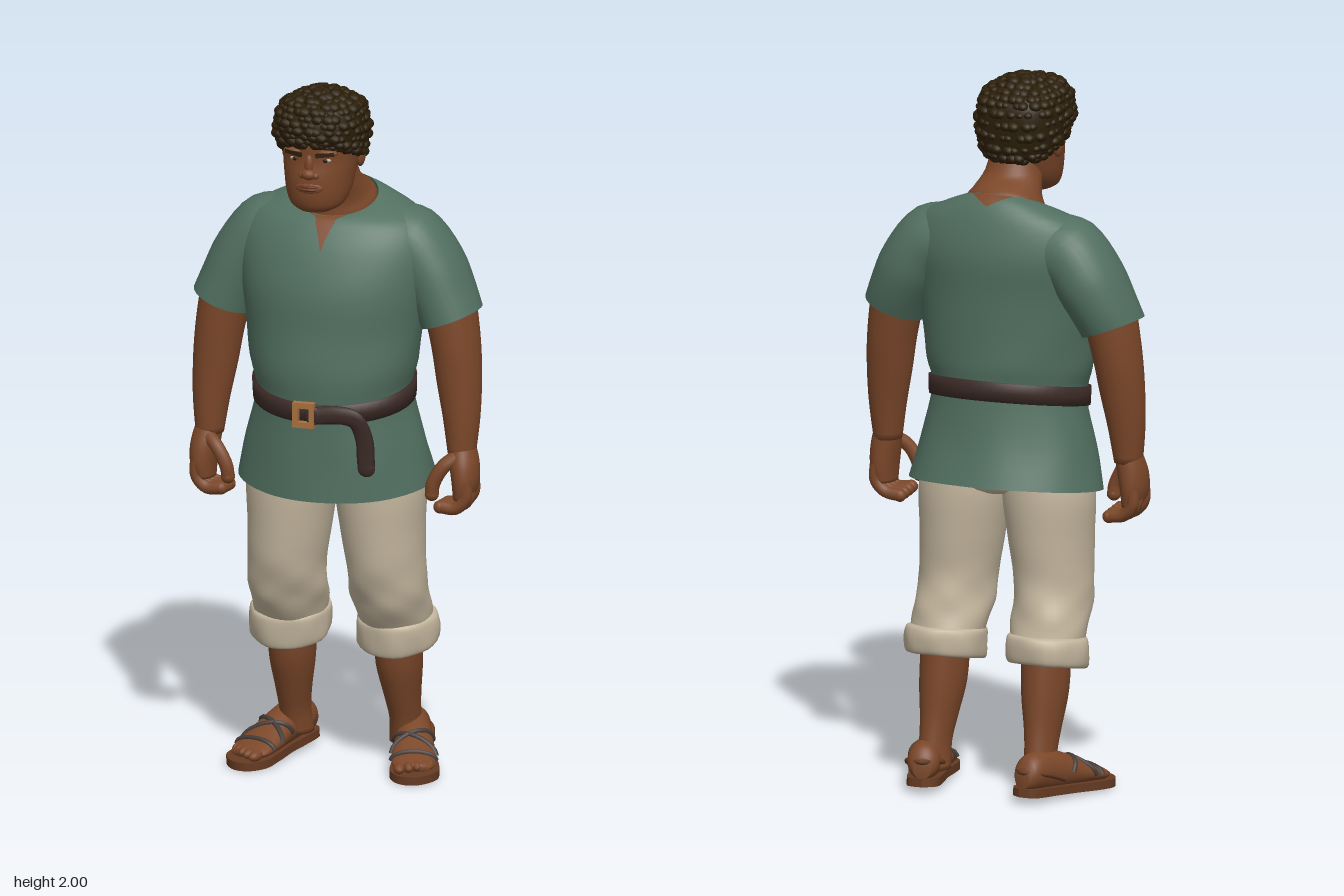
import * as THREE from 'three';
import { mergeGeometries } from 'three/addons/utils/BufferGeometryUtils.js';

const mat = (name, color, side = THREE.FrontSide) => {
  const m = new THREE.MeshStandardMaterial({ color, side });
  m.name = name;
  return m;
};

// Interpolated cross-section [cx, cy, cz, rx, rz, lean, frontRise] at t = 0..1
function sectionAt(S, t) {
  const k = S.length - 1, p = t * k, i = Math.min(Math.floor(p), k - 1), f = p - i;
  const g = (n, c) => S[Math.max(0, Math.min(k, n))][c] ?? 0;
  return [0, 1, 2, 3, 4, 5, 6].map(c => {
    const a = g(i - 1, c), b = g(i, c), d = g(i + 1, c), e = g(i + 2, c);
    return b + 0.5 * f * (d - a + f * (2 * a - 5 * b + 4 * d - e + f * (3 * (b - d) + e - a)));
  });
}

function pointOn(S, t, th, grow = 0, ripple = null) {
  const [cx, cy, cz, rx, rz, a, dy] = sectionAt(S, t);
  const r = ripple ? 1 + ripple(th, cy) : 1;
  const u = Math.cos(th) * (rx + grow) * r, w = Math.sin(th);
  return [cx + u * Math.cos(a), cy + u * Math.sin(a) + w * dy, cz + w * (rz + grow) * r];
}

// Grid of points to faces; the ring closes on itself when wrap is set
function grid(rows, cols, wrap, fn, cap = false) {
  const pos = [], idx = [], n = wrap ? cols : cols + 1;
  for (let i = 0; i <= rows; i++) for (let j = 0; j < n; j++) pos.push(...fn(i / rows, j / cols));
  for (let i = 0; i < rows; i++) for (let j = 0; j < cols; j++) {
    const a = i * n + j, b = i * n + (j + 1) % n;
    idx.push(a, a + n, b, b, a + n, b + n);
  }
  if (cap) for (const i of [0, rows]) {
    const c = pos.length / 3, sum = [0, 0, 0];
    for (let j = 0; j < n; j++) for (let d = 0; d < 3; d++) sum[d] += pos[(i * n + j) * 3 + d] / n;
    pos.push(...sum);
    for (let j = 0; j < n; j++) {
      const a = i * n + j, b = i * n + (j + 1) % n;
      if (i) idx.push(a, c, b); else idx.push(a, b, c);
    }
  }
  const geo = new THREE.BufferGeometry();
  geo.setAttribute('position', new THREE.Float32BufferAttribute(pos, 3));
  geo.setIndex(idx);
  geo.computeVertexNormals();
  return geo;
}

const loft = (S, { cap = true, ripple = null, steps = 4, seg = 32 } = {}) =>
  grid((S.length - 1) * steps, seg, true, (t, u) => pointOn(S, t, u * Math.PI * 2, 0, ripple), cap);

const ball = (x, y, z, rx, ry, rz) => new THREE.SphereGeometry(1, 14, 10).scale(rx, ry, rz).translate(x, y, z);
const curve = pts => new THREE.CatmullRomCurve3(pts.map(p => new THREE.Vector3(...p)));
const tube = (pts, r, n = 16) => new THREE.TubeGeometry(curve(pts), n, r, 8);
const finger = (pts, r) => {
  const e = pts[pts.length - 1];
  return mergeGeometries([tube(pts, r), ball(...e, r, r, r)]);
};

// Reflected copy in x, with the faces turned back outwards
function mirrorGeo(src) {
  const g = (src.index ? src.toNonIndexed() : src.clone()).scale(-1, 1, 1);
  for (const name of ['position', 'normal']) {
    const a = g.attributes[name];
    for (let i = 0; i < a.count; i += 3) {
      const p = [a.getX(i + 1), a.getY(i + 1), a.getZ(i + 1)];
      a.setXYZ(i + 1, a.getX(i + 2), a.getY(i + 2), a.getZ(i + 2));
      a.setXYZ(i + 2, ...p);
    }
  }
  return g;
}

export function createModel() {
  const root = new THREE.Group();
  root.name = 'standingMan';
  const skin = mat('skin', 0x7b4729), hairMat = mat('hair', 0x2b1e08);
  const cloth = mat('tunicGreen', 0x516f60, THREE.DoubleSide), linen = mat('linen', 0xc2b49c, THREE.DoubleSide);
  const leather = mat('beltLeather', 0x3b2a26), brass = mat('brass', 0xa8703f);
  const soleMat = mat('sandalSole', 0x663b23), strapMat = mat('sandalStrap', 0x443b38);
  const eyeMat = mat('eyeWhite', 0xb8aca0), lipMat = mat('lips', 0x663623);

  const add = (name, geo, m, parent = root) => {
    const mesh = new THREE.Mesh(geo, m);
    mesh.name = name;
    parent.add(mesh);
    return mesh;
  };
  const pair = (name, geo, m) => {
    add('left' + name, geo, m);
    add('right' + name, mirrorGeo(geo), m);
  };

  // Tunic body with soft folds around the belt
  const torso = [
    [0, .86, -.01, .28, .22, 0, -.03], [0, .98, .008, .252, .199, 0, -.03], [0, 1.115, .018, .22, .187, 0, -.033],
    [0, 1.2, .02, .238, .193, 0, -.015], [0, 1.3, .015, .25, .187], [0, 1.42, .01, .268, .183],
    [0, 1.53, -.01, .28, .168], [0, 1.61, -.018, .25, .14, 0, -.015],
    [0, 1.65, -.016, .17, .117, 0, -.03], [0, 1.665, -.01, .115, .098, 0, -.038]];
  const folds = (th, y) => Math.sin(7 * th + 1) * .014 * Math.max(0, 1 - Math.abs(y - .95) / .14)
    + Math.sin(5 * th + 9 * y) * .012 * Math.max(0, 1 - Math.abs(y - 1.22) / .12);
  add('tunic', loft(torso, { cap: false, ripple: folds, seg: 56 }), cloth);
  pair('Sleeve', loft([
    [.33, 1.335, -.015, .09, .1, .36], [.306, 1.39, -.025, .092, .108, .45], [.27, 1.46, -.033, .099, .114, .7],
    [.21, 1.532, -.033, .106, .11, 1.1], [.13, 1.55, -.033, .1, .1, 1.4]], { cap: false }), cloth);
  // Neck openings showing skin: a long slit in front, a short notch behind
  add('neckSlit', grid(16, 6, false, (t, u) =>
    pointOn(torso, .68 + t * .32, Math.PI / 2 + (u - .5) * (.24 * Math.min(1, t * 2) + .75 * t ** 5), .005)), skin);
  add('neckNotch', grid(8, 6, false, (t, u) =>
    pointOn(torso, .87 + t * .13, -Math.PI / 2 + (u - .5) * 1.1 * t, .004)), skin);

  // Belt, buckle and hanging strap end
  add('belt', loft([
    [0, 1.093, .017, .21, .177, 0, -.034], [0, 1.093, .017, .23, .197, 0, -.034], [0, 1.12, .018, .231, .199, 0, -.034],
    [0, 1.147, .019, .232, .2, 0, -.034], [0, 1.147, .019, .21, .177, 0, -.034]],
  { cap: false, steps: 1, seg: 48 }), leather);
  const frame = new THREE.Shape([[-.031, -.036], [.031, -.036], [.031, .036], [-.031, .036]].map(p => new THREE.Vector2(...p)));
  frame.holes.push(new THREE.Path([[-.016, -.02], [-.016, .02], [.016, .02], [.016, -.02]].map(p => new THREE.Vector2(...p))));
  add('buckle', new THREE.ExtrudeGeometry(frame, { depth: .02, bevelEnabled: false }).translate(-.026, 1.086, .215), brass);
  add('beltEnd', mergeGeometries([
    tube([[0, 1.085, .745], [.06, 1.09, .71], [.113, 1.075, .66], [.137, 1.02, .625], [.142, .935, .615]], .026, 28).scale(1, 1, .3),
    ball(.142, .935, .1845, .026, .026, .008), ball(0, 1.085, .2235, .026, .026, .008)]), leather);

  // Arms and hands
  pair('Arm', loft([
    [.366, .95, .007, .039, .046], [.363, 1.05, 0, .052, .056], [.354, 1.15, -.008, .063, .066],
    [.343, 1.25, -.015, .069, .076], [.323, 1.37, -.022, .074, .083, .3]]), skin);
  pair('Palm', loft([
    [.375, .825, .018, .028, .05], [.38, .87, .018, .037, .058], [.376, .92, .015, .041, .055], [.368, .965, .008, .039, .045],
    [.364, 1, .004, .03, .034]]), skin);
  const fingers = [-.022, .004, .031, .056].map((z, i) => finger(
    [[.39, .88, z], [.39, .832 - .004 * (i % 3), z], [.362, .802, z + .002], [.318, .794 + .003 * i, z + .003]], .0185));
  fingers.push(finger([[.365, .95, .035], [.328, .92, .06], [.3, .87, .066], [.296, .84, .064]], .02));
  pair('Fingers', mergeGeometries(fingers), skin);

  // Trousers with rolled cuffs
  const creases = (th, y) => (Math.sin(3 * th + 34 * y) * .03 + Math.sin(5 * th - 60 * y) * .015)
    * Math.max(0, 1 - Math.abs(y - .51) / .14);
  pair('TrouserLeg', loft([
    [.152, .42, -.07, .1, .108], [.149, .5, -.033, .109, .121], [.144, .6, -.004, .109, .126],
    [.134, .72, 0, .118, .136], [.127, .85, 0, .127, .142], [.12, .97, 0, .1, .13]], { ripple: creases, steps: 6, seg: 36 }), linen);
  pair('Cuff', loft([
    [.155, .385, -.072, .085, .09, 0, -.02], [.155, .366, -.072, .1, .105, 0, -.022], [.156, .376, -.073, .113, .115, 0, -.022],
    [.156, .415, -.071, .116, .12, 0, -.02], [.154, .444, -.067, .112, .117, 0, -.015], [.152, .452, -.065, .098, .105, 0, -.012]],
  { cap: false, ripple: (th, y) => Math.sin(5 * th + 20 * y) * .02 + Math.sin(8 * th - 40 * y) * .012 }), linen);
  add('trouserSeat', loft([[0, .845, 0, .06, .1], [0, .875, 0, .17, .132], [0, .98, 0, .21, .145]]), linen);

  // Shins, feet and sandals; a foot is laid out heel to toe, then turned outwards
  pair('Shin', loft([
    [.158, .06, -.145, .046, .056], [.16, .13, -.13, .043, .06], [.158, .2, -.11, .05, .068],
    [.155, .3, -.088, .064, .082], [.153, .42, -.075, .066, .084]]), skin);
  const place = g => g.rotateX(.055).rotateY(.29).translate(.15, .03, -.247);
  const foot = [
    [0, .004, -.045, .024, .028], [0, .03, -.06, .044, .05], [0, .1, -.062, .048, .058], [0, .17, -.054, .054, .05],
    [0, .24, -.041, .062, .033], [0, .3, -.032, .06, .02], [0, .33, -.03, .045, .012]];
  pair('Foot', place(loft(foot).rotateX(Math.PI / 2)), skin);
  pair('Toes', place(mergeGeometries([-.04, -.014, .009, .029, .047].map((x, i) =>
    ball(x, .033, .337 - .011 * i, .016 - .0015 * i, .015, .026)))), skin);
  const print = new THREE.Shape();
  print.moveTo(0, -.005);
  print.splineThru([[.042, .02], [.05, .1], [.058, .18], [.071, .27], [.063, .33], [.015, .372], [-.035, .367],
    [-.065, .32], [-.062, .25], [-.052, .17], [-.05, .1], [-.042, .02], [0, -.005]].map(p => new THREE.Vector2(...p)));
  pair('Sole', place(new THREE.ExtrudeGeometry(print, { depth: .024, bevelEnabled: false, curveSegments: 36 })
    .rotateX(Math.PI / 2).translate(0, .02, 0)), soleMat);
  const strap = (l0, l1) => {
    const pts = [];
    for (let i = 0; i <= 10; i++) {
      const [x, l, z] = pointOn(foot, l0 + (l1 - l0) * i / 10, -Math.PI * i / 10);
      pts.push([x, -z, l]);
    }
    return tube(pts, .0075, 20);
  };
  pair('Straps', place(mergeGeometries([strap(.76, .76), strap(.7, .5), strap(.48, .66)])), strapMat);
  pair('HeelBand', place(tube([[-.05, .04, .13], [-.045, .062, .05], [0, .066, .003], [.045, .062, .05], [.05, .04, .13]], .008, 24)), soleMat);

  // Head and neck, leaning forward
  add('neck', loft([
    [0, 1.56, -.01, .11, .09, 0, -.03], [0, 1.652, -.01, .114, .097, 0, -.038], [0, 1.69, .004, .097, .086, 0, -.025],
    [0, 1.74, .045, .08, .078], [0, 1.81, .07, .07, .07]]), skin);
  const head = new THREE.Group();
  head.name = 'head';
  head.position.x = -.011;
  root.add(head);
  add('face', loft([
    [0, 1.668, .16, .045, .045], [0, 1.685, .147, .074, .075], [0, 1.72, .13, .09, .102], [0, 1.77, .117, .099, .117],
    [0, 1.82, .107, .106, .12], [0, 1.88, .1, .112, .13], [0, 1.94, .1, .098, .112], [0, 1.97, .1, .06, .07]]), skin, head);
  add('nose', mergeGeometries([
    ball(0, 1.785, .23, .021, .016, .019), ball(0, 1.81, .224, .013, .032, .014),
    ball(-.018, 1.781, .224, .012, .011, .014), ball(.018, 1.781, .224, .012, .011, .014)]), skin, head);
  add('muzzle', ball(0, 1.745, .212, .046, .026, .026), skin, head);
  add('lips', mergeGeometries([ball(0, 1.75, .23, .03, .005, .012), ball(0, 1.741, .229, .026, .006, .012)]), lipMat, head);
  add('chin', ball(0, 1.697, .2, .036, .026, .024), skin, head);
  for (const s of [-1, 1]) {
    add('ear', ball(s * .106, 1.812, .085, .014, .034, .022), skin, head);
    add('browRidge', ball(s * .043, 1.846, .21, .036, .012, .018), skin, head);
    add('eye', ball(s * .043, 1.824, .21, .017, .006, .008), eyeMat, head);
    add('iris', ball(s * .043, 1.824, .2155, .008, .006, .0045), hairMat, head);
    add('eyebrow', new THREE.BoxGeometry(.052, .011, .008).rotateZ(s * .1).rotateY(s * .3)
      .translate(s * .045, 1.843, .226), hairMat, head);
  }

  // Squarish hair cap roughened with rows of flat little curls
  const hair = [
    [0, 1.818, .1, .1, .11, 0, .045], [0, 1.832, .1, .117, .13, 0, .04], [0, 1.88, .1, .125, .141, 0, .02],
    [0, 1.93, .1, .12, .136, 0, .004], [0, 1.963, .104, .1, .114, 0, .004], [0, 1.983, .108, .06, .07], [0, 1.988, .11, .008, .01]];
  const square = th => .09 * Math.sin(2 * th) ** 2;
  add('hairCap', loft(hair, { ripple: square, seg: 40 }), hairMat, head);
  const curls = [];
  [.06, .14, .22, .3, .38, .46, .54, .62, .7, .78, .87, .95].forEach((t, row) => {
    const n = row < 8 ? 28 : [22, 16, 10, 5][row - 8];
    for (let j = 0; j < n; j++) {
      const th = (j + (row % 2) / 2 + .25 * Math.sin(j * 3.7 + row)) / n * Math.PI * 2;
      const [x, y, z] = pointOn(hair, t, th, -.009, square);
      const r = .0155 + .003 * Math.sin(j * 5.3 + row * 2.1);
      curls.push(new THREE.IcosahedronGeometry(r, 1).scale(1.15, .9, 1.15).translate(x, y, z));
    }
  });
  add('curls', mergeGeometries(curls), hairMat, head);
  return root;
}
